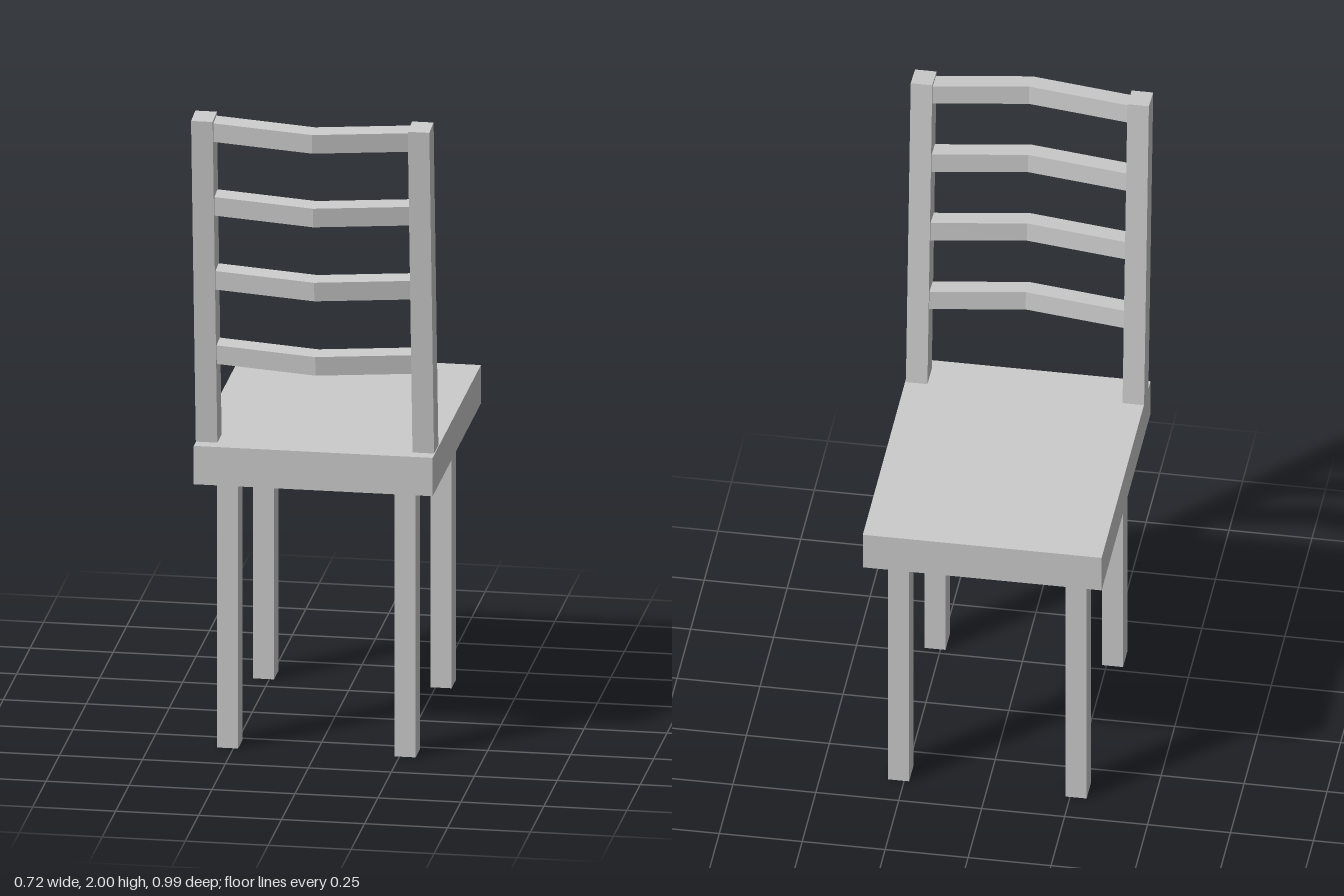
import * as THREE from 'three';

const material = new THREE.MeshStandardMaterial({ color: 0xcccccc, flatShading: true });

function addMesh(parent, name, geometry, x, y, z) {
  const mesh = new THREE.Mesh(geometry, material);
  mesh.name = name;
  mesh.position.set(x, y, z);
  parent.add(mesh);
  return mesh;
}

// Rail bent once in the middle, bowing towards the back
function railGeometry(halfSpan, bow, depth, height) {
  const d = depth / 2;
  const peak = 0.01;
  const shape = new THREE.Shape([
    new THREE.Vector2(-halfSpan, -bow - d),
    new THREE.Vector2(peak, -d),
    new THREE.Vector2(halfSpan, -bow - d),
    new THREE.Vector2(halfSpan, -bow + d),
    new THREE.Vector2(peak, d),
    new THREE.Vector2(-halfSpan, -bow + d),
  ]);
  const geometry = new THREE.ExtrudeGeometry(shape, { depth: height, bevelEnabled: false });
  geometry.translate(0, 0, -height / 2);
  geometry.rotateX(Math.PI / 2);
  return geometry;
}

export function createModel() {
  const chair = new THREE.Group();
  chair.name = 'chair';

  // Seat slab
  addMesh(chair, 'seat', new THREE.BoxGeometry(0.72, 0.12, 0.9), 0, 0.9, -0.04);

  // Four straight legs
  const legGeometry = new THREE.BoxGeometry(0.064, 0.84, 0.08);
  for (const [side, x] of [['left', 0.267], ['right', -0.268]]) {
    addMesh(chair, side + 'BackrestLeg', legGeometry, x, 0.42, 0.31);
    addMesh(chair, side + 'SeatEdgeLeg', legGeometry, x, 0.42, -0.36);
  }

  // Leaning backrest: two posts and four bent rails
  const backrest = new THREE.Group();
  backrest.name = 'backrest';
  backrest.position.set(0, 0.957, 0.328);
  backrest.rotation.x = 0.085;
  chair.add(backrest);

  const postGeometry = new THREE.BoxGeometry(0.065, 1.042, 0.08);
  addMesh(backrest, 'leftPost', postGeometry, 0.325, 0.521, 0);
  addMesh(backrest, 'rightPost', postGeometry, -0.328, 0.521, 0);

  const rail = railGeometry(0.3, 0.052, 0.06, 0.06);
  [0.286, 0.526, 0.765, 1.003].forEach((y, i) => {
    addMesh(backrest, 'rail' + (i + 1), rail, 0, y, 0.05);
  });

  return chair;
}
